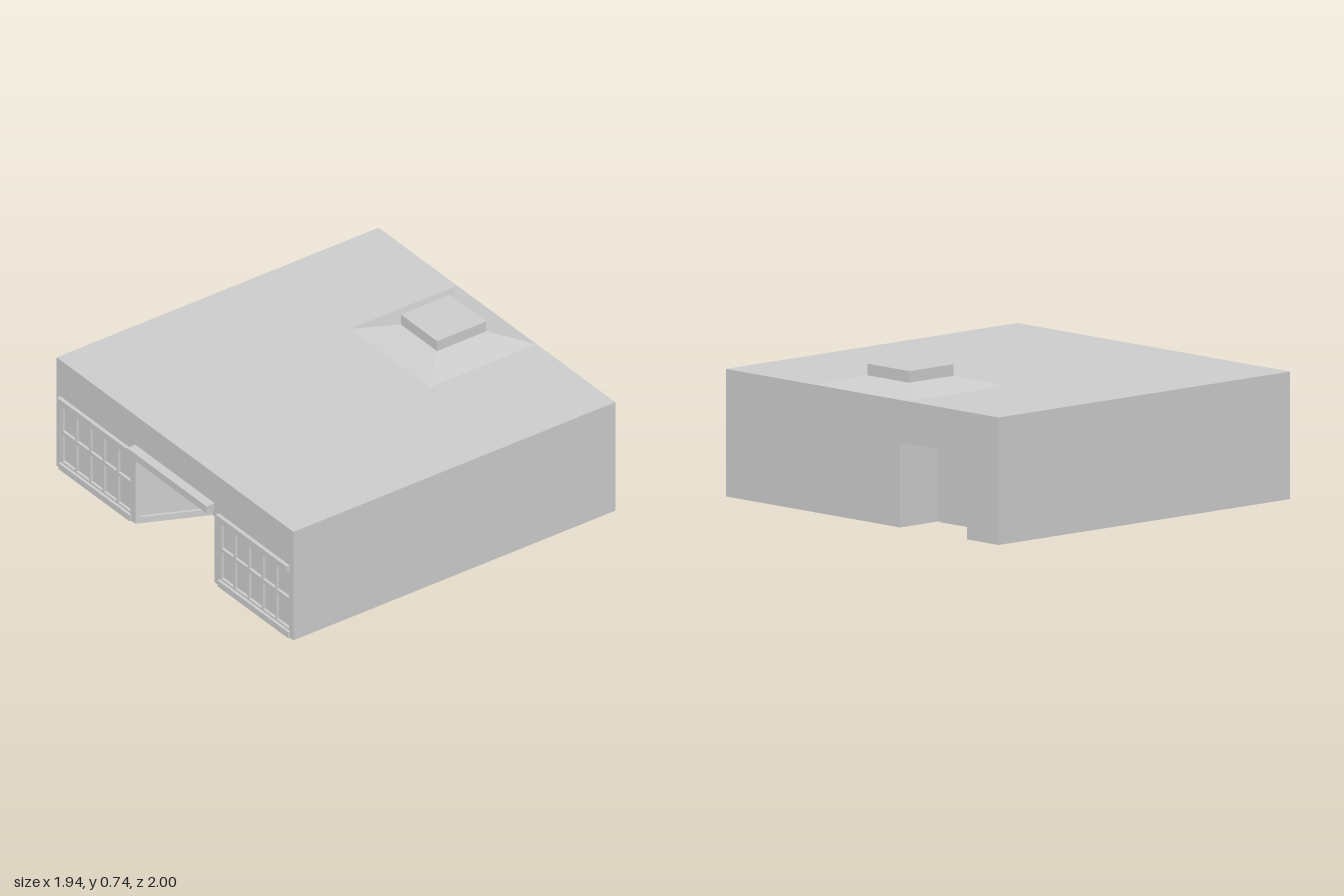
import * as THREE from 'three';

const mat = new THREE.MeshStandardMaterial({ color: 0xcccccc, side: THREE.DoubleSide, flatShading: true });

const W = 0.97, BACK = -1, FRONT = 0.95, H = 0.63; // building shell
const OPEN = 0.42; // height of all openings

function add(parent, name, geo, x = 0, y = 0, z = 0) {
  const mesh = new THREE.Mesh(geo, mat);
  mesh.name = name;
  mesh.position.set(x, y, z);
  parent.add(mesh);
  return mesh;
}

// Box given by its limits
function box(parent, name, x0, x1, y0, y1, z0, z1) {
  return add(parent, name, new THREE.BoxGeometry(x1 - x0, y1 - y0, z1 - z0),
    (x0 + x1) / 2, (y0 + y1) / 2, (z0 + z1) / 2);
}

const shapeOf = pts => new THREE.Shape(pts.map(p => new THREE.Vector2(p[0], p[1])));

// Upright sheet facing +z
const sheet = pts => new THREE.ShapeGeometry(shapeOf(pts));

// Horizontal sheet from x, z points, facing down or up
function slab(pts, up = false) {
  return up
    ? new THREE.ShapeGeometry(shapeOf(pts.map(([x, z]) => [x, -z]))).rotateX(-Math.PI / 2)
    : new THREE.ShapeGeometry(shapeOf(pts)).rotateX(Math.PI / 2);
}

// Upright wall between two x, z points
function wall(parent, name, a, b, y0, y1) {
  const dx = b[0] - a[0], dz = b[1] - a[1];
  const mesh = add(parent, name, new THREE.PlaneGeometry(Math.hypot(dx, dz), y1 - y0),
    (a[0] + b[0]) / 2, (y0 + y1) / 2, (a[1] + b[1]) / 2);
  mesh.rotation.y = Math.atan2(-dz, dx);
  return mesh;
}

// Gridded shop window, five panes by two
function shopWindow(side) {
  const g = new THREE.Group();
  g.name = side > 0 ? 'leftWindow' : 'rightWindow';
  const w = 0.58, cols = 5, bar = 0.012, pane = 0.93, face = 0.945;
  box(g, 'glass', -w / 2, w / 2, 0, OPEN, pane - 0.005, pane);
  for (let i = 0; i <= cols; i++) {
    const x = -w / 2 + bar / 2 + (i / cols) * (w - bar);
    box(g, 'mullion', x - bar / 2, x + bar / 2, 0.035, 0.385, pane, face);
  }
  box(g, 'middleRail', -w / 2, w / 2, 0.2, 0.22, pane, face);
  box(g, 'topRail', -w / 2, w / 2, 0.373, 0.385, pane, face);
  box(g, 'bottomRail', -w / 2, w / 2, 0.035, 0.045, pane, face);
  box(g, 'sill', -w / 2, w / 2, 0, 0.035, pane, 0.96);
  box(g, 'header', -w / 2, w / 2, 0.385, OPEN, pane, 0.97);
  g.position.x = side * 0.65;
  return g;
}

// Slanted entry wall with one large pane
function entryWall(side) {
  const g = new THREE.Group();
  g.name = side > 0 ? 'leftEntryWall' : 'rightEntryWall';
  const half = Math.hypot(0.16, 0.35) / 2;
  const frame = shapeOf([[-half, 0], [half, 0], [half, OPEN], [-half, OPEN]]);
  const px = half - 0.022;
  frame.holes.push(shapeOf([[-px, 0.035], [-px, 0.385], [px, 0.385], [px, 0.035]]));
  add(g, 'entryFrame', new THREE.ExtrudeGeometry(frame, { depth: 0.02, bevelEnabled: false }), 0, 0, -0.02);
  box(g, 'entryGlass', -px, px, 0.035, 0.385, -0.018, -0.014);
  g.position.set(side * 0.245, 0, 0.775);
  g.rotation.y = Math.atan2(-side * 0.35, 0.16);
  return g;
}

export function createModel() {
  const model = new THREE.Group();
  model.name = 'building';

  // Outer shell
  add(model, 'roof', slab([[-W, BACK], [W, BACK], [W, FRONT], [-W, FRONT]], true), 0, H, 0);
  wall(model, 'leftWall', [W, FRONT], [W, BACK], 0, H);
  wall(model, 'rightWall', [-W, BACK], [-W, FRONT], 0, H);
  add(model, 'frontWall', sheet([
    [-W, 0], [-0.94, 0], [-0.94, OPEN], [-0.36, OPEN], [-0.36, 0], [-0.325, 0], [-0.325, OPEN],
    [0.325, OPEN], [0.325, 0], [0.36, 0], [0.36, OPEN], [0.94, OPEN], [0.94, 0], [W, 0], [W, H], [-W, H],
  ]), 0, 0, FRONT);
  const backWall = add(model, 'backWall', sheet([
    [-W, 0], [0.27, 0], [0.27, OPEN], [0.745, OPEN], [0.745, 0], [W, 0], [W, H], [-W, H],
  ]), 0, 0, BACK);
  backWall.rotation.y = Math.PI;

  // Floor, open at the rear corner and under the entry
  add(model, 'floor', slab([
    [W, BACK], [W, FRONT], [0.325, FRONT], [0.325, 0.3], [-0.325, 0.3], [-0.325, FRONT],
    [-W, FRONT], [-W, -0.35], [-0.325, -0.35], [0.325, -0.35], [-0.27, BACK],
  ]));

  // Front windows and entry
  for (const side of [-1, 1]) model.add(shopWindow(side), entryWall(side));
  wall(model, 'entryBackWall', [-0.165, 0.6], [0.165, 0.6], 0, OPEN);
  box(model, 'entryDoor', -0.07, 0.07, 0, 0.32, 0.6, 0.606);
  add(model, 'entryCeiling', slab([[-0.325, FRONT], [-0.165, 0.6], [0.165, 0.6], [0.325, FRONT]]), 0, OPEN, 0);
  box(model, 'canopy', -0.325, 0.325, OPEN, 0.46, FRONT, 1);

  // Rear doorway recess
  const z = -0.745;
  wall(model, 'recessLeftWall', [-0.27, z], [-0.27, BACK], 0, OPEN);
  wall(model, 'recessRightWall', [-0.745, BACK], [-0.745, z], 0, OPEN);
  wall(model, 'recessBackWall', [-0.27, z], [-0.745, z], 0, OPEN);
  add(model, 'recessCeiling', slab([[-0.745, BACK], [-0.27, BACK], [-0.27, z], [-0.745, z]]), 0, OPEN, 0);
  box(model, 'rearDoor', -0.6, -0.31, 0, 0.38, z - 0.008, z);
  for (const x of [-0.61, -0.31]) box(model, 'rearDoorJamb', x, x + 0.01, 0, 0.39, z - 0.015, z);
  box(model, 'rearDoorHead', -0.6, -0.31, 0.38, 0.39, z - 0.015, z);

  // Roof vent: four-sided skirt with a cap
  const skirt = new THREE.CylinderGeometry(0.15 * Math.SQRT2, 0.325 * Math.SQRT2, 0.05, 4, 1, true).rotateY(Math.PI / 4);
  add(model, 'ventSkirt', skirt, 0, H + 0.025, -0.675);
  box(model, 'ventCap', -0.148, 0.148, 0.68, 0.737, -0.825, -0.528);

  return model;
}
